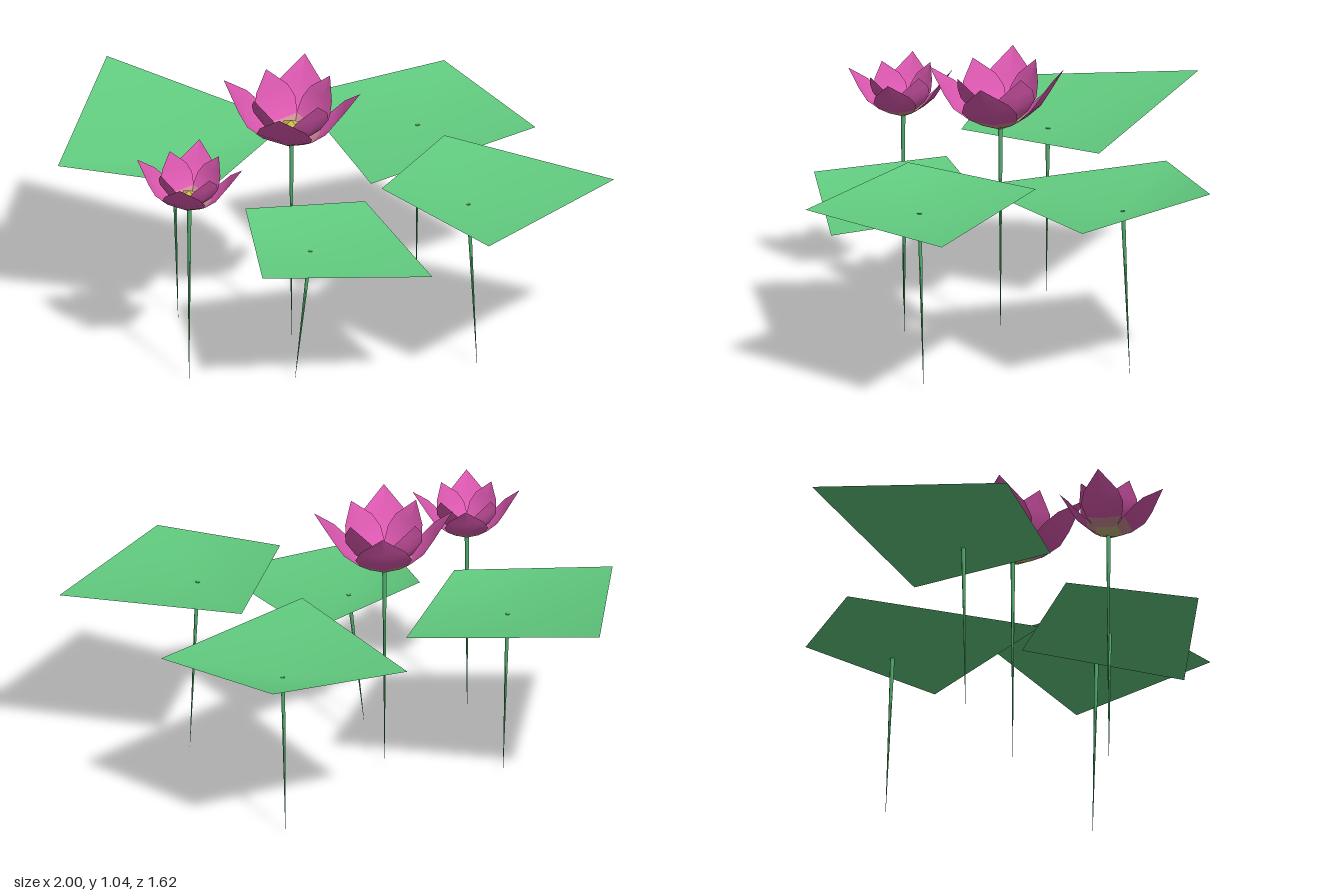
import * as THREE from 'three';

const mat = (name, color, side = THREE.FrontSide) => {
  const m = new THREE.MeshStandardMaterial({ color, side });
  m.name = name;
  return m;
};

function meshFrom(positions, index, material, name) {
  const g = new THREE.BufferGeometry();
  g.setAttribute('position', new THREE.Float32BufferAttribute(positions, 3));
  g.setIndex(index);
  g.computeVertexNormals();
  const mesh = new THREE.Mesh(g, material);
  mesh.name = name;
  return mesh;
}

// Shallow four-cornered pad, lowest where it meets its stem
function makePad(centre, corners, material) {
  const index = [];
  for (let i = 0; i < 4; i++) index.push(0, 1 + ((i + 1) % 4), 1 + i);
  return meshFrom([...centre, ...corners.flat()], index, material, 'lilyPad');
}

// Thin stem tapering to a point at the ground
function makeStem(top, foot, material) {
  const a = new THREE.Vector3(...foot), b = new THREE.Vector3(...top);
  const dir = b.clone().sub(a);
  const stem = new THREE.Mesh(new THREE.CylinderGeometry(0.009, 0.0005, dir.length(), 5), material);
  stem.position.copy(a).add(b).multiplyScalar(0.5);
  stem.quaternion.setFromUnitVectors(new THREE.Vector3(0, 1, 0), dir.normalize());
  stem.name = 'stem';
  return stem;
}

// Petal lofted from rows of [radius, height, half width], edges curled upwards
function makePetal(rows, materials, name) {
  const positions = [], index = [];
  for (const [r, y, w] of rows) {
    for (const s of [-1, 0, 1]) positions.push(r - Math.abs(s) * w * 0.12, y + Math.abs(s) * w * 0.15, s * w);
  }
  for (let t = 0; t < rows.length - 1; t++) {
    for (let s = 0; s < 2; s++) {
      const a = t * 3 + s, b = a + 1, c = a + 3, d = a + 4;
      index.push(a, b, c);
      if (t < rows.length - 2) index.push(b, d, c);
    }
  }
  const petal = meshFrom(positions, index, materials, name);
  // Pale base, blush band, then pink to the tip
  petal.geometry.addGroup(0, 12, 0);
  petal.geometry.addGroup(12, 12, 1);
  petal.geometry.addGroup(24, index.length - 24, 2);
  return petal;
}

const OUTER = [[0, 0, 0.012], [0.06, 0.022, 0.055], [0.105, 0.05, 0.088], [0.16, 0.095, 0.105], [0.195, 0.145, 0.085], [0.257, 0.24, 0]];
const INNER = [[0, 0.008, 0.012], [0.05, 0.03, 0.05], [0.085, 0.06, 0.078], [0.12, 0.11, 0.09], [0.14, 0.16, 0.07], [0.17, 0.235, 0]];

function makeFlower(position, scale, petalMats, coreMat) {
  const flower = new THREE.Group();
  flower.name = 'flower';
  for (let i = 0; i < 4; i++) {
    const angle = THREE.MathUtils.degToRad(21 + i * 90);
    const outer = makePetal(OUTER, petalMats, 'outerPetal');
    outer.rotation.y = -angle;
    const inner = makePetal(INNER, petalMats, 'innerPetal');
    inner.rotation.y = -angle - Math.PI / 4;
    flower.add(outer, inner);
  }
  // Four-sided seed head
  const core = new THREE.Mesh(new THREE.CylinderGeometry(0.05, 0.025, 0.05, 4), coreMat);
  core.position.y = 0.05;
  core.rotation.y = 0.45;
  core.name = 'seedHead';
  const cap = new THREE.Mesh(new THREE.ConeGeometry(0.05, 0.025, 4), coreMat);
  cap.position.y = 0.0875;
  cap.rotation.y = 0.45;
  cap.name = 'seedHeadCap';
  flower.add(core, cap);
  flower.position.set(...position);
  flower.rotation.x = 0.06;
  flower.scale.setScalar(scale);
  return flower;
}

export function createModel() {
  const group = new THREE.Group();
  group.name = 'waterLilies';
  const leaf = mat('leafGreen', 0x62cc80, THREE.DoubleSide);
  const stem = mat('stemGreen', 0x55b572);
  const core = mat('seedYellow', 0xc8bc48);
  core.flatShading = true;
  const petals = [
    mat('petalBase', 0xc4b27c, THREE.DoubleSide),
    mat('petalBlush', 0xcf8c98, THREE.DoubleSide),
    mat('petalPink', 0xdc58b0, THREE.DoubleSide),
  ];

  // Pads: centre, corners clockwise from above, foot of the stem
  const pads = [
    [[-0.545, 0.65, -0.23], [[-0.69, 0.805, -0.81], [-0.095, 0.695, -0.36], [-0.46, 0.69, 0.105], [-1, 0.715, -0.12]], [-0.53, 0, -0.22]],
    [[0.4, 0.63, -0.385], [[-0.01, 0.685, -0.6], [0.555, 0.735, -0.69], [0.805, 0.685, -0.18], [0.13, 0.665, 0.135]], [0.4, 0, -0.41]],
    [[0.45, 0.67, 0.38], [[0.44, 0.745, -0.055], [1, 0.72, 0.37], [0.45, 0.705, 0.805], [0.125, 0.765, 0.38]], [0.485, 0, 0.37]],
    [[-0.14, 0.52, 0.36], [[-0.35, 0.625, 0.175], [0.12, 0.56, 0.065], [0.26, 0.537, 0.685], [-0.375, 0.577, 0.665]], [-0.195, 0, 0.352]],
  ];
  for (const [centre, corners, foot] of pads) {
    const [x, y, z] = centre;
    group.add(makePad(centre, corners, leaf), makeStem([x, y + 0.004, z], foot, stem));
  }

  // Flowers on upright stems
  for (const [x, y, z, s] of [[-0.145, 0.79, 0, 1], [-0.585, 0.71, 0.305, 0.77]]) {
    group.add(makeFlower([x, y, z], s, petals, core), makeStem([x, y + 0.01, z], [x, 0, z], stem));
  }
  return group;
}
